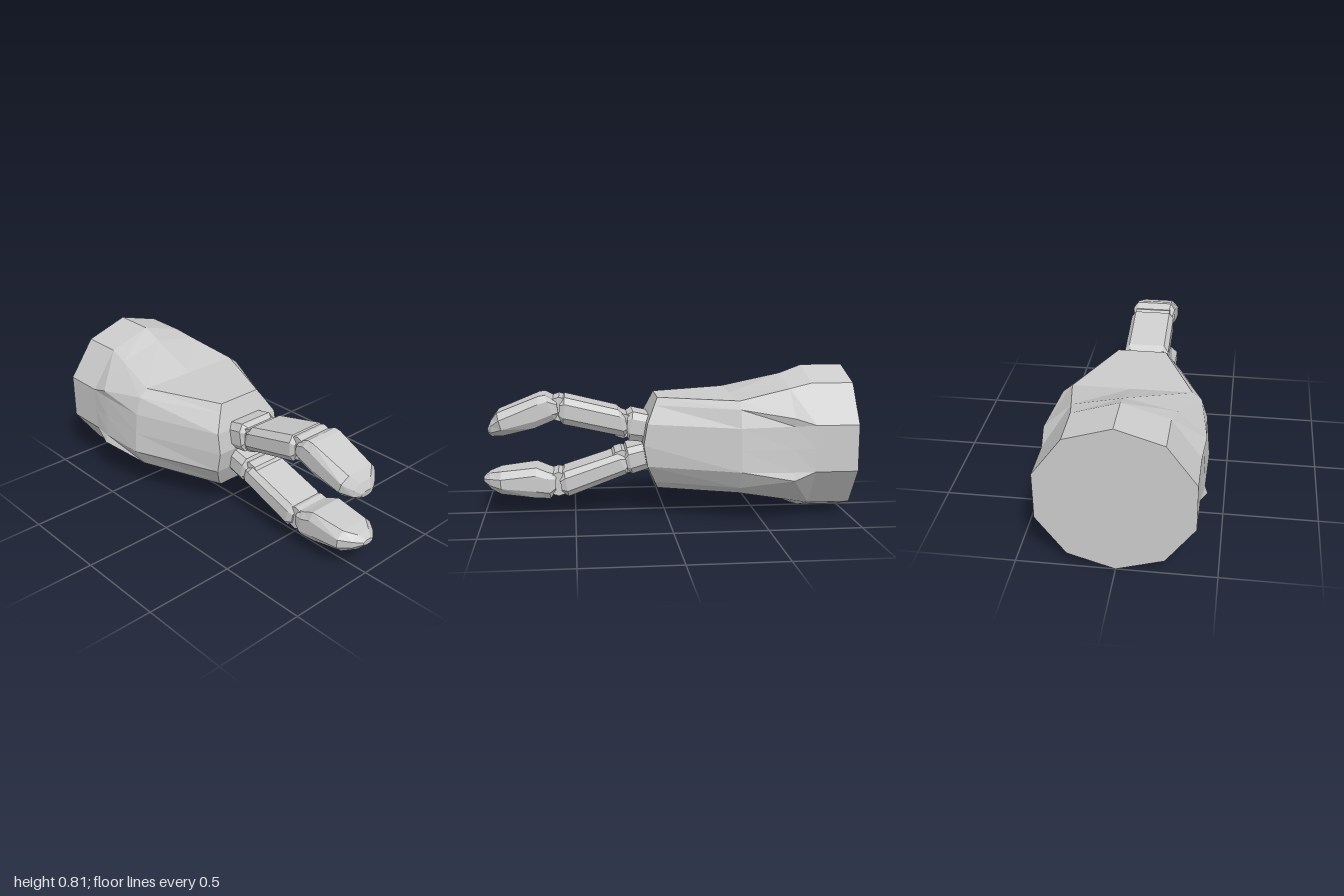
import * as THREE from 'three';

const material = new THREE.MeshStandardMaterial({ color: 0xcccccc, flatShading: true });

// Half outline [x, y, z] from top centre to bottom centre, mirrored across z = 0
function mirrorRing(half) {
  const other = half.slice(1, -1).reverse().map(([x, y, z]) => [x, y, -z]);
  return [...half, ...other].map((p) => new THREE.Vector3(...p));
}

// Skin a row of half outlines running along +x and close both ends
function loft(name, halves) {
  const rings = halves.map(mirrorRing);
  const n = rings[0].length;
  const out = [];
  const tri = (a, b, c) => {
    if (a.distanceTo(b) < 1e-6 || b.distanceTo(c) < 1e-6 || a.distanceTo(c) < 1e-6) return;
    for (const p of [a, b, c]) out.push(p.x, p.y, p.z);
  };
  const quad = (a, b, c, d) => { tri(a, b, c); tri(a, c, d); };
  for (let i = 0; i < rings.length - 1; i++) {
    for (let j = 0; j < n; j++) {
      const k = (j + 1) % n;
      quad(rings[i][j], rings[i][k], rings[i + 1][k], rings[i + 1][j]);
    }
  }
  // End caps as strips running across z
  const first = rings[0], last = rings[rings.length - 1];
  for (let j = 0; j < n / 2; j++) {
    const [a, b, c, d] = [j, j + 1, n - j - 1, (n - j) % n];
    quad(last[a], last[b], last[c], last[d]);
    quad(first[d], first[c], first[b], first[a]);
  }
  const geometry = new THREE.BufferGeometry();
  geometry.setAttribute('position', new THREE.Float32BufferAttribute(out, 3));
  geometry.computeVertexNormals();
  const mesh = new THREE.Mesh(geometry, material);
  mesh.name = name;
  return mesh;
}

// Chamfered outline between a top and a bottom point; w is the half width
function section([tx, ty, bx, by, w, inset = 0.025, drop = 0.24]) {
  const at = (t, z) => [tx + (bx - tx) * t, ty + (by - ty) * t, z];
  return [at(0, 0), at(0, w - inset), at(drop, w), at(1 - drop, w), at(1, w - inset), at(1, 0)];
}

function createForearm() {
  // Each outline lists [y, z] from top to bottom
  const cuff = [[0.815, 0], [0.74, 0.24], [0.535, 0.39], [0.535, 0.39], [0.41, 0.39],
    [0.285, 0.39], [0.285, 0.39], [0.08, 0.24], [0.005, 0]];
  const bulge = [[0.77, 0], [0.715, 0.26], [0.575, 0.405], [0.532, 0.394], [0.41, 0.4],
    [0.288, 0.406], [0.245, 0.42], [0.105, 0.26], [0.05, 0]];
  const palm = [[0.66, 0], [0.66, 0.31], [0.62, 0.36], [0.525, 0.39], [0.41, 0.4],
    [0.295, 0.41], [0.2, 0.355], [0.16, 0.3], [0.16, 0]];
  const end = [[0.66, 0], [0.66, 0.13], [0.62, 0.155], [0.525, 0.21], [0.41, 0.213],
    [0.295, 0.215], [0.2, 0.17], [0.16, 0.14], [0.16, 0]];
  const endX = [0.05, 0.05, 0.068, 0.11, 0.13, 0.11, 0.068, 0.05, 0.05];
  const flat = (outline, x) => outline.map(([y, z]) => [x, y, z]);
  return loft('forearm', [
    flat(cuff, -1), flat(cuff, -0.77), flat(bulge, -0.65), flat(palm, -0.37),
    end.map(([y, z], i) => [endX[i], y, z]),
  ]);
}

// A finger is three lofted segments with a narrower hinge at each bend
function createFinger(name, segments, hinges) {
  const finger = new THREE.Group();
  finger.name = name;
  for (const [part, rows] of Object.entries(segments)) finger.add(loft(part, rows.map(section)));
  for (const [x, y, r] of hinges) {
    const hinge = new THREE.Mesh(new THREE.CylinderGeometry(r, r, 0.2, 10), material);
    hinge.name = 'hinge';
    hinge.rotation.x = Math.PI / 2;
    hinge.position.set(x, y, 0);
    finger.add(hinge);
  }
  return finger;
}

export function createModel() {
  const model = new THREE.Group();
  model.name = 'pincerArm';
  model.add(createForearm());

  model.add(createFinger('upperFinger', {
    knuckle: [
      [0.08, 0.555, 0.08, 0.405, 0.125],
      [0.18, 0.578, 0.205, 0.42, 0.125],
      [0.21, 0.56, 0.215, 0.45, 0.11],
    ],
    middleSegment: [
      [0.225, 0.56, 0.205, 0.46, 0.11],
      [0.26, 0.59, 0.225, 0.44, 0.125],
      [0.55, 0.662, 0.56, 0.515, 0.125],
      [0.575, 0.64, 0.585, 0.545, 0.11],
    ],
    fingertip: [
      [0.595, 0.645, 0.58, 0.56, 0.115],
      [0.655, 0.675, 0.605, 0.54, 0.125],
      [0.69, 0.67, 0.715, 0.495, 0.125],
      [0.915, 0.58, 0.88, 0.455, 0.125, 0.04, 0.3],
      [0.95, 0.535, 0.945, 0.445, 0.08, 0.04, 0.3],
      [0.97, 0.49, 0.965, 0.455, 0.04, 0.02, 0.3],
    ],
  }, [[0.235, 0.5, 0.068], [0.58, 0.598, 0.066]]));

  model.add(createFinger('lowerFinger', {
    knuckle: [
      [0.08, 0.41, 0.08, 0.265, 0.125],
      [0.215, 0.378, 0.185, 0.232, 0.125],
      [0.23, 0.34, 0.215, 0.25, 0.11],
    ],
    middleSegment: [
      [0.225, 0.335, 0.2, 0.26, 0.11],
      [0.265, 0.345, 0.215, 0.232, 0.125],
      [0.56, 0.25, 0.535, 0.113, 0.125],
      [0.585, 0.22, 0.57, 0.13, 0.11],
    ],
    fingertip: [
      [0.605, 0.235, 0.605, 0.14, 0.115],
      [0.65, 0.25, 0.635, 0.103, 0.125],
      [0.71, 0.276, 0.72, 0.108, 0.125],
      [0.905, 0.255, 0.9, 0.13, 0.125, 0.04, 0.3],
      [0.965, 0.24, 0.96, 0.15, 0.08, 0.04, 0.3],
      [1.0, 0.215, 1.0, 0.185, 0.035, 0.02, 0.3],
    ],
  }, [[0.24, 0.297, 0.068], [0.59, 0.182, 0.066]]));

  return model;
}
